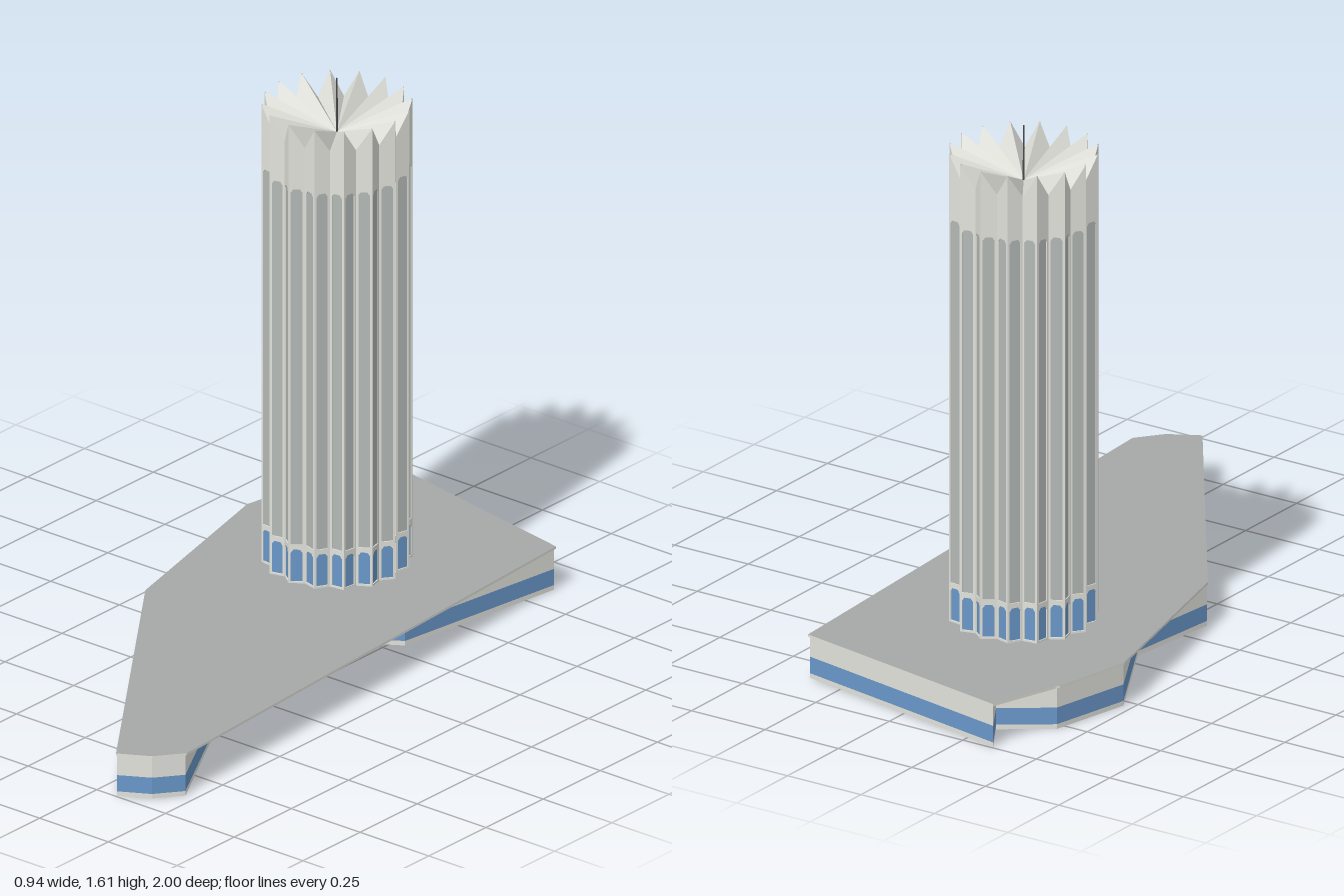
import * as THREE from 'three';

const mat = (name, color) => {
  const m = new THREE.MeshStandardMaterial({ color });
  m.name = name;
  return m;
};

// Flat-faced geometry from a list of convex polygons, each an array of [x, y, z]
function polygons(list) {
  const pos = [];
  for (const p of list)
    for (let i = 1; i < p.length - 1; i++) pos.push(...p[0], ...p[i], ...p[i + 1]);
  const g = new THREE.BufferGeometry();
  g.setAttribute('position', new THREE.Float32BufferAttribute(pos, 3));
  g.computeVertexNormals();
  return g;
}

// Surface joining two closed outlines of [x, z] at heights y0 and y1
function loft(lower, y0, upper, y1) {
  return polygons(lower.map((a, i) => {
    const j = (i + 1) % lower.length, b = lower[j], c = upper[j], d = upper[i];
    return [[a[0], y0, a[1]], [b[0], y0, b[1]], [c[0], y1, c[1]], [d[0], y1, d[1]]];
  }));
}

// Outline moved inwards by a distance, with mitred corners
function inset(outline, dist) {
  const n = outline.length;
  const normal = (a, b) => new THREE.Vector2(b[1] - a[1], a[0] - b[0]).normalize();
  return outline.map((p, i) => {
    const n0 = normal(outline[(i + n - 1) % n], p), n1 = normal(p, outline[(i + 1) % n]);
    const k = dist / (1 + n0.dot(n1));
    return [p[0] + (n0.x + n1.x) * k, p[1] + (n0.y + n1.y) * k];
  });
}

// Upright window outline with clipped upper corners
function windowPoints(x0, x1, y0, y1) {
  const c = (x1 - x0) * 0.22, clip = 0.01;
  return [[x0, y0], [x1, y0], [x1, y1 - clip], [x1 - c, y1], [x0 + c, y1], [x0, y1 - clip]]
    .map(([x, y]) => new THREE.Vector2(x, y));
}

export function createModel() {
  const concrete = mat('concrete', 0xe2e3dc);
  const blueGlass = mat('blue glass', 0x6a98ca);
  const greyGlass = mat('grey glass', 0xb4b9b6);
  const roofGrey = mat('roof grey', 0xa6a9a8);
  const dark = mat('dark metal', 0x4a4a4a);

  const model = new THREE.Group();
  const add = (parent, name, geometry, material) => {
    const mesh = new THREE.Mesh(geometry, material);
    mesh.name = name;
    parent.add(mesh);
    return mesh;
  };

  // Podium: notched walls, open below, under a simpler overhanging roof
  const podium = new THREE.Group();
  podium.name = 'podium';
  model.add(podium);
  const walls = [
    [0.32, 0.996], [0.407, 0.947], [0.466, 0.872], [0.21, 0.405], [0.2, 0.291], [0, 0.27],
    [0.1, -0.18], [0.29, -0.3], [0.369, -0.857], [-0.35, -0.995], [-0.28, -0.88],
    [-0.418, -0.78], [-0.471, -0.53], [-0.29, -0.2], [-0.319, 0.1],
  ];
  const inner = inset(walls, 0.003);
  add(podium, 'wallBase', loft(walls, 0, walls, 0.014), concrete);
  add(podium, 'wallWindowBand', loft(walls, 0.014, walls, 0.064), blueGlass);
  add(podium, 'wallUpper', loft(walls, 0.064, walls, 0.125), concrete);
  add(podium, 'wallInside', loft(inner, 0.125, inner, 0), concrete);
  add(podium, 'wallBottomRim', loft(inner, 0, walls, 0), concrete);

  const roofOutline = [
    [0.32, 1], [0.41, 0.95], [0.47, 0.873], [0.372, -0.862], [-0.353, -1],
    [-0.42, -0.79], [-0.428, -0.78], [-0.475, -0.53], [-0.322, 0.1],
  ];
  const roofShape = new THREE.Shape(roofOutline.map(([x, z]) => new THREE.Vector2(x, -z)));
  const roof = new THREE.ExtrudeGeometry(roofShape, { depth: 0.007, bevelEnabled: false });
  roof.rotateX(-Math.PI / 2).translate(0, 0.125, 0);
  add(podium, 'podiumRoof', roof, [roofGrey, concrete]);

  // Tower: star-shaped plan of folded faces under a pleated crown
  const tower = new THREE.Group();
  tower.name = 'tower';
  tower.position.set(-0.045, 0, -0.405);
  model.add(tower);
  const FLUTES = 16, BASE = 0.13, VALLEY = 1.47, PEAK = 1.54, CENTRE = 1.445, REVEAL = 0.004;
  const star = [];
  for (let i = 0; i < FLUTES * 2; i++) {
    const t = i * Math.PI / FLUTES, r = i % 2 ? 0.188 : 0.2125;
    star.push([Math.sin(t) * r, Math.cos(t) * r]);
  }
  const width = Math.hypot(star[1][0] - star[0][0], star[1][1] - star[0][1]);

  // Each face is a thin frame with two openings and panes set back in them
  const tall = windowPoints(width * 0.14, width * 0.86, 0.25, 1.342);
  const low = windowPoints(width * 0.14, width * 0.86, 0.138, 0.235);
  const paneGeometry = (points) =>
    new THREE.ShapeGeometry(new THREE.Shape(points)).translate(0, 0, -REVEAL * 0.75);
  const tallPane = paneGeometry(tall), lowPane = paneGeometry(low);
  const frames = [[PEAK, VALLEY], [VALLEY, PEAK]].map(([y0, y1]) => {
    const shape = new THREE.Shape([[0, BASE], [width, BASE], [width, y1], [0, y0]]
      .map(([x, y]) => new THREE.Vector2(x, y)));
    shape.holes.push(new THREE.Path(tall), new THREE.Path(low));
    return new THREE.ExtrudeGeometry(shape, { depth: REVEAL, bevelEnabled: false })
      .translate(0, 0, -REVEAL);
  });

  const pleats = [];
  star.forEach((a, i) => {
    const b = star[(i + 1) % star.length];
    const face = new THREE.Group();
    face.name = 'towerFace';
    face.position.set(a[0], 0, a[1]);
    face.rotation.y = Math.atan2(a[1] - b[1], b[0] - a[0]);
    tower.add(face);
    add(face, 'faceFrame', frames[i % 2], concrete);
    add(face, 'tallWindow', tallPane, greyGlass);
    add(face, 'lobbyWindow', lowPane, blueGlass);
    const [ya, yb] = i % 2 ? [VALLEY, PEAK] : [PEAK, VALLEY];
    pleats.push([[a[0], ya, a[1]], [b[0], yb, b[1]], [0, CENTRE, 0]]);
  });
  add(tower, 'pleatedRoof', polygons(pleats), concrete);

  // Thin mast on the centre of the crown
  add(tower, 'mast', new THREE.CylinderGeometry(0.002, 0.003, 0.17, 6), dark).position.y = 1.525;

  return model;
}
